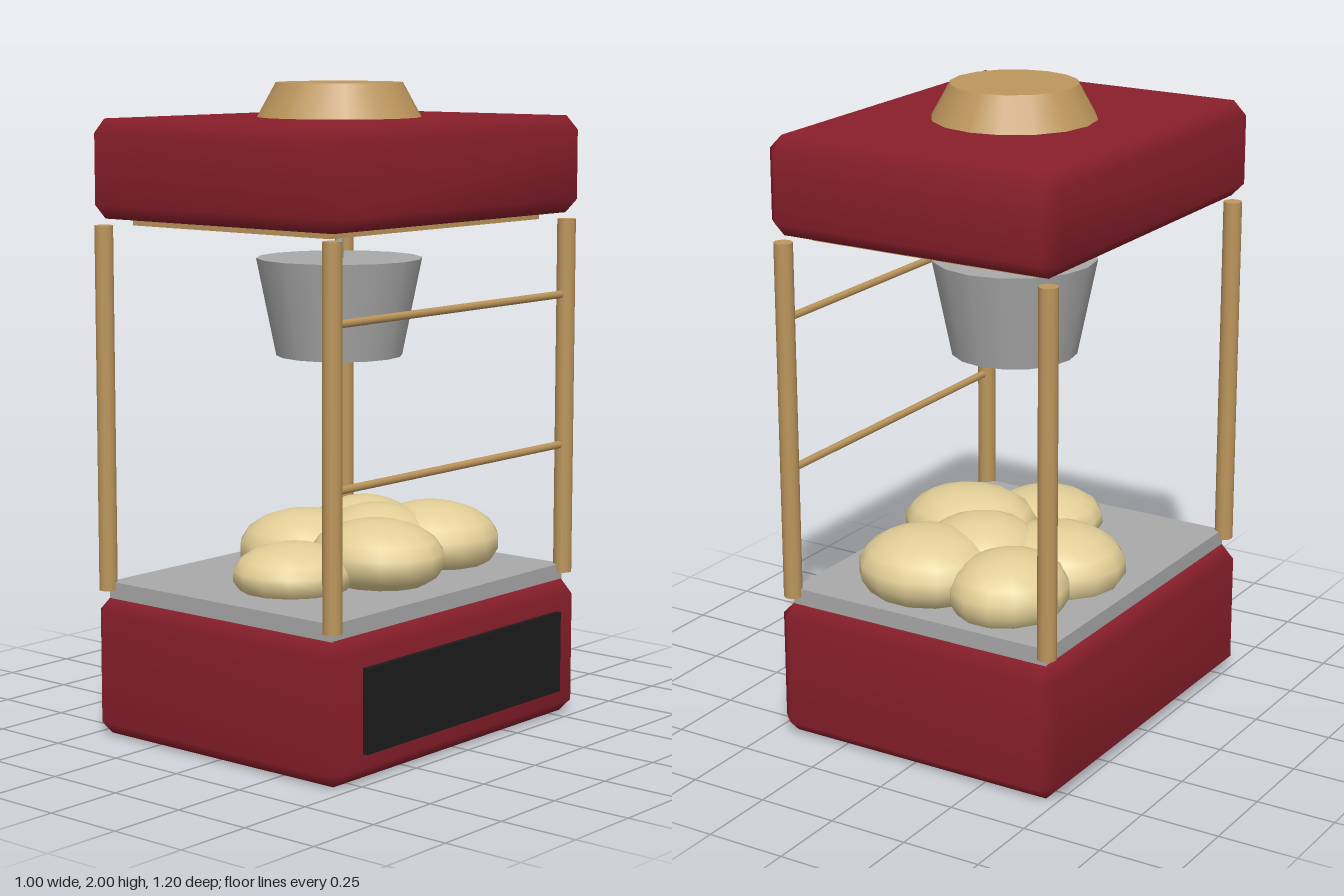
import * as THREE from 'three';
import { ConvexGeometry } from 'three/addons/geometries/ConvexGeometry.js';
import { mergeVertices } from 'three/addons/utils/BufferGeometryUtils.js';

const CX = -0.01; // centre line of the cabinet
const mat = (color) => new THREE.MeshStandardMaterial({ color });

// Box with one soft chamfer on every edge
function chamferBox(w, h, d, c) {
  const points = [];
  for (const x of [-1, 1]) for (const y of [-1, 1]) for (const z of [-1, 1]) {
    for (let axis = 0; axis < 3; axis++) {
      const inset = [c, c, c];
      inset[axis] = 0;
      points.push(new THREE.Vector3(
        x * (w / 2 - inset[0]), y * (h / 2 - inset[1]), z * (d / 2 - inset[2])));
    }
  }
  const hull = new ConvexGeometry(points);
  hull.deleteAttribute('normal');
  const geometry = mergeVertices(hull, 1e-4);
  geometry.computeVertexNormals();
  return geometry;
}

export function createModel() {
  const model = new THREE.Group();
  model.name = 'popcornMachine';
  const red = mat(0x8a1f2b), brass = mat(0xbd965c), steel = mat(0xaaaaaa);
  const black = mat(0x1c1c1c), corn = mat(0xe3cf97);

  const add = (name, geometry, material, x, y, z) => {
    const mesh = new THREE.Mesh(geometry, material);
    mesh.name = name;
    mesh.position.set(x, y, z);
    model.add(mesh);
    return mesh;
  };

  // Cabinet
  add('base', chamferBox(0.985, 0.43, 1.2, 0.043), red, CX, 0.217, 0);
  add('canopy', chamferBox(0.985, 0.3, 1.2, 0.043), red, CX, 1.745, 0);
  add('sidePanel', new THREE.BoxGeometry(0.03, 0.255, 0.95), black, 0.485, 0.218, 0);
  add('tray', new THREE.BoxGeometry(0.9, 0.055, 1.12), steel, CX, 0.4535, 0);
  add('ceilingPlate', new THREE.BoxGeometry(0.78, 0.04, 1.0), brass, CX, 1.594, 0);
  add('roofCap', new THREE.CylinderGeometry(0.194, 0.257, 0.115, 16), brass, CX, 1.9425, 0);

  // Corner posts
  for (const x of [-0.463, 0.441]) for (const z of [-0.562, 0.562]) {
    add('post', new THREE.CylinderGeometry(0.029, 0.029, 1.12, 12), brass, x, 1.015, z);
  }

  // Rails on the serving side
  for (const y of [0.865, 1.34]) {
    add('rail', new THREE.CylinderGeometry(0.012, 0.012, 1.12, 8), brass, 0.441, y, 0)
      .rotation.x = Math.PI / 2;
  }

  // Hanging kettle
  add('kettle', new THREE.CylinderGeometry(0.256, 0.195, 0.3, 16), steel, CX, 1.316, 0);
  add('kettleRod', new THREE.CylinderGeometry(0.013, 0.013, 0.16, 8), steel, CX, 1.535, 0);

  // Popcorn heap: centre x, y, z, then radii x, y, z
  const heap = [
    [0.03, 0.525, 0.26, 0.185, 0.095, 0.195],
    [0.165, 0.56, 0.025, 0.22, 0.115, 0.195],
    [-0.2, 0.525, -0.06, 0.22, 0.125, 0.21],
    [-0.2, 0.535, -0.34, 0.18, 0.12, 0.2],
    [0.09, 0.55, -0.34, 0.22, 0.122, 0.21],
    [0.0, 0.55, -0.17, 0.2, 0.127, 0.2],
  ];
  const puff = new THREE.SphereGeometry(1, 14, 9);
  heap.forEach(([x, y, z, rx, ry, rz]) => {
    add('popcorn', puff, corn, x, y, z).scale.set(rx, ry, rz);
  });

  return model;
}
